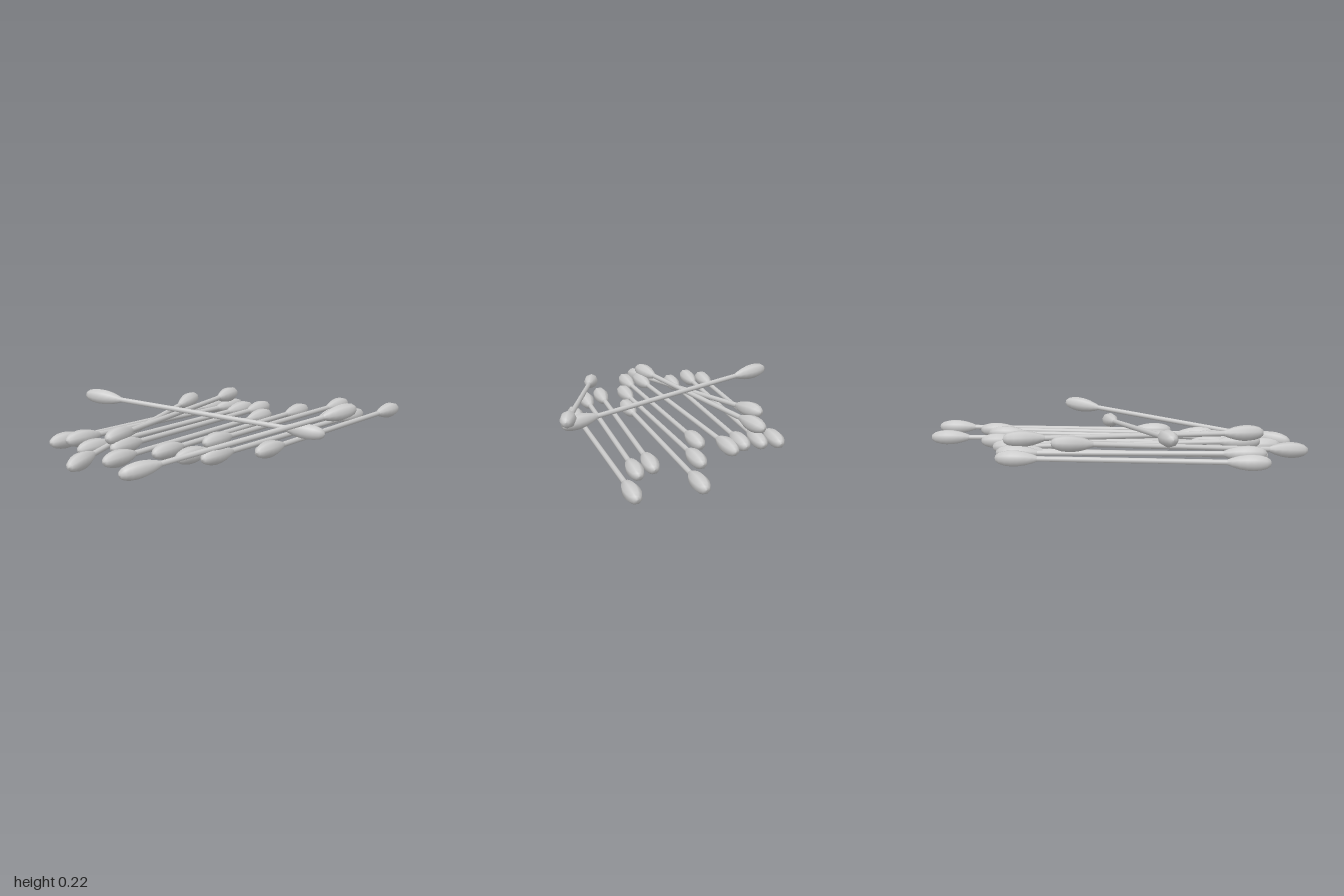
import * as THREE from 'three';

const SIDES = 8;
const STICK_RADIUS = 0.013;

// Tip-to-tip positions of each swab: left x, y, z, then right x, y, z
const SWABS = [
  [-0.915, 0.055, -0.14, 0.298, 0.055, -0.528],
  [-0.872, 0.078, -0.05, 0.338, 0.062, -0.445],
  [-0.857, 0.05, 0.045, 0.352, 0.058, -0.363],
  [-1.0, 0.045, 0.277, 0.047, 0.13, -0.448],
  [-0.793, 0.13, 0.217, 0.3, 0.13, -0.445],
  [-0.775, 0.085, 0.225, 0.43, 0.06, -0.31],
  [-0.855, 0.055, 0.312, 0.332, 0.055, -0.152],
  [-0.61, 0.055, 0.302, 0.582, 0.055, -0.158],
  [-0.327, 0.06, 0.265, 0.873, 0.055, -0.168],
  [-0.562, 0.055, 0.427, 0.655, 0.057, 0.055],
  [-0.475, 0.055, 0.498, 0.742, 0.06, 0.118],
  [-0.21, 0.055, 0.528, 0.997, 0.06, 0.112],
  [-0.87, 0.041, 0.49, 0.397, 0.184, 0.477],
  [-0.568, 0.196, -0.502, 0.172, 0.092, 0.53],
];

export function createModel() {
  const model = new THREE.Group();
  const material = new THREE.MeshStandardMaterial({ color: 0xcccccc });

  // Elongated cotton bud with its rounded tip at the origin and its neck at -y
  const profile = [
    [STICK_RADIUS, -0.2], [0.022, -0.178], [0.032, -0.145], [0.038, -0.11],
    [0.039, -0.08], [0.036, -0.05], [0.028, -0.022], [0.016, -0.005], [0, 0],
  ].map(([r, y]) => new THREE.Vector2(r, y));
  const budGeometry = new THREE.LatheGeometry(profile, SIDES);
  const up = new THREE.Vector3(0, 1, 0);

  SWABS.forEach(([x1, y1, z1, x2, y2, z2], i) => {
    const a = new THREE.Vector3(x1, y1, z1);
    const b = new THREE.Vector3(x2, y2, z2);
    const length = a.distanceTo(b);

    const swab = new THREE.Group();
    swab.name = `cottonSwab${i + 1}`;
    swab.position.copy(a).add(b).multiplyScalar(0.5);
    swab.quaternion.setFromUnitVectors(up, b.clone().sub(a).normalize());

    // Thin stick reaching into both buds
    const stick = new THREE.Mesh(
      new THREE.CylinderGeometry(STICK_RADIUS, STICK_RADIUS, length - 0.3, SIDES), material);
    stick.name = 'stick';
    swab.add(stick);

    // A bud on each end; the model's left is +x
    for (const side of [-1, 1]) {
      const bud = new THREE.Mesh(budGeometry, material);
      bud.name = side < 0 ? 'rightBud' : 'leftBud';
      bud.position.y = side * length / 2;
      if (side < 0) bud.rotation.x = Math.PI;
      swab.add(bud);
    }
    model.add(swab);
  });

  return model;
}
